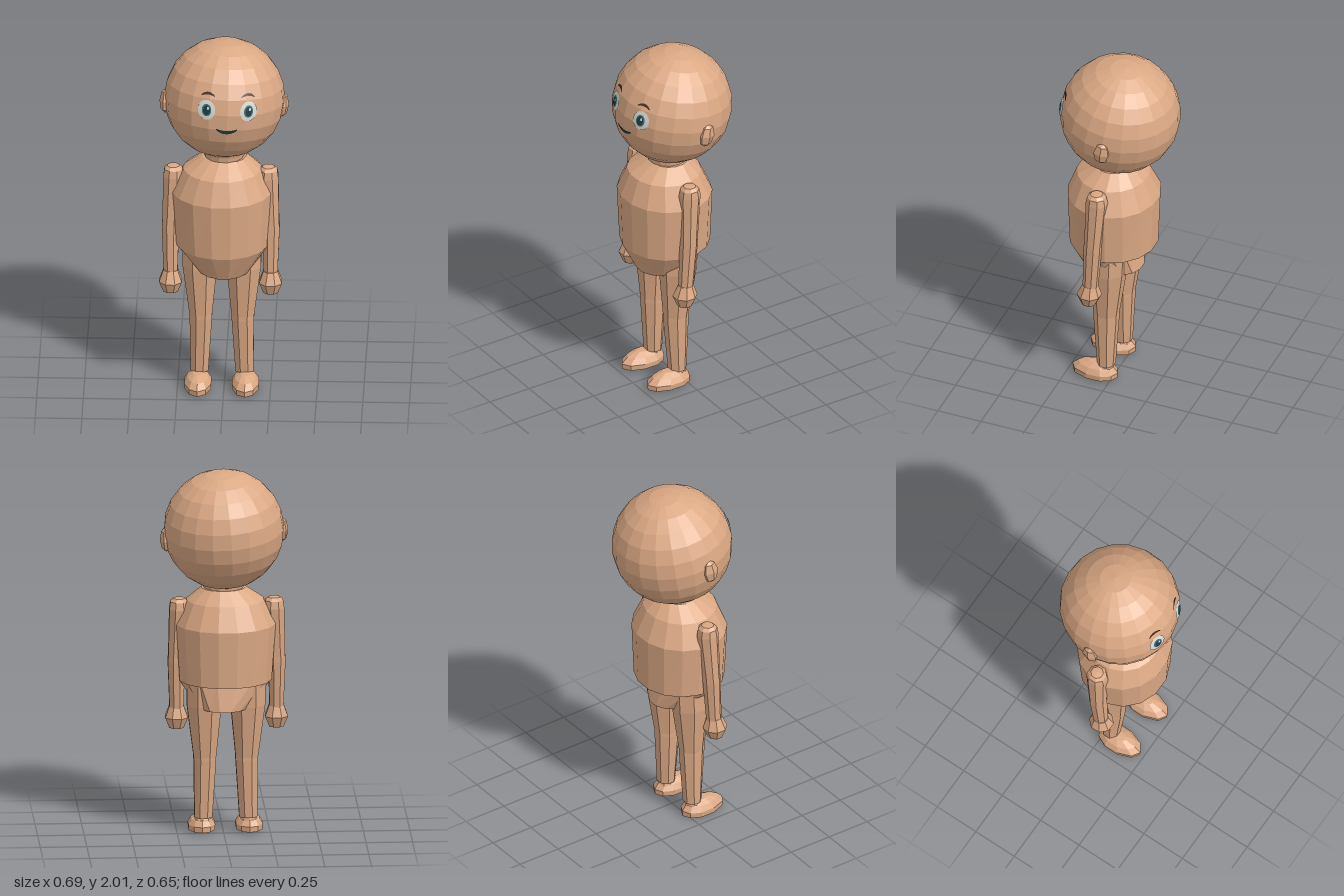
import * as THREE from 'three';

const material = (color, extra = {}) =>
  new THREE.MeshStandardMaterial({ color, flatShading: true, side: THREE.DoubleSide, ...extra });
const skin = material(0xdba884);
const eyeWhite = material(0xd9dad3);
const irisTeal = material(0x3f7078);
const darkTeal = material(0x1f3a42);
const browBrown = material(0x4a3025);

function addMesh(parent, name, geometry, mat = skin) {
  const mesh = new THREE.Mesh(geometry, mat);
  mesh.name = name;
  parent.add(mesh);
  return mesh;
}

// Skin over rings listed bottom to top: [y, centreX, radiusX, centreZ, frontRadius, backRadius]
function loft(rings, sides, turn = 0) {
  const points = [], index = [];
  rings.forEach(([y, cx, rx, cz, front, back = front], i) => {
    for (let j = 0; j < sides; j++) {
      const a = ((j + turn) / sides) * Math.PI * 2;
      const s = Math.sin(a);
      points.push(cx + rx * Math.cos(a), y, cz + s * (s > 0 ? front : back));
      if (i === rings.length - 1) continue;
      const p = i * sides + j, next = i * sides + ((j + 1) % sides);
      index.push(p, p + sides, next, p + sides, next + sides, next);
    }
  });
  const geometry = new THREE.BufferGeometry();
  geometry.setAttribute('position', new THREE.Float32BufferAttribute(points, 3));
  geometry.setIndex(index);
  const flat = geometry.toNonIndexed();
  flat.computeVertexNormals();
  return flat;
}

// Push a flat shape in x and y out onto the front of the head
const HEAD = 0.325;
function ontoHead(geometry, x, y, lift) {
  geometry.translate(x, y, 0);
  const p = geometry.attributes.position;
  for (let i = 0; i < p.count; i++) {
    const r2 = p.getX(i) ** 2 + p.getY(i) ** 2;
    p.setZ(i, Math.sqrt(HEAD * HEAD - r2) + lift);
  }
  geometry.computeVertexNormals();
  return geometry;
}
const oval = (rx, ry) => new THREE.RingGeometry(0, 1, 24, 3).scale(rx, ry, 1);

// Curved stroke that is thickest in the middle; bend lifts (or lowers) its middle
function stroke(halfWidth, thickness, bend) {
  const g = new THREE.PlaneGeometry(2, 1, 12, 1);
  const p = g.attributes.position;
  for (let i = 0; i < p.count; i++) {
    const u = p.getX(i), arch = 1 - u * u;
    p.setXY(i, u * halfWidth, p.getY(i) * thickness * (0.35 + 0.65 * arch) + bend * (arch - 0.5));
  }
  return g;
}

function buildHead() {
  const head = new THREE.Group();
  head.name = 'head';
  addMesh(head, 'skull', new THREE.SphereGeometry(HEAD, 20, 12));
  for (const side of [-1, 1]) {
    const label = side > 0 ? 'left' : 'right';
    addMesh(head, label + 'Ear', new THREE.SphereGeometry(1, 6, 4).scale(0.033, 0.07, 0.048))
      .position.set(side * 0.315, -0.03, 0);
    const x = side * 0.113, y = 0.025;
    addMesh(head, label + 'EyeWhite', ontoHead(oval(0.046, 0.055), x, y, 0.001), eyeWhite);
    addMesh(head, label + 'Iris', ontoHead(oval(0.025, 0.034), x, y, 0.003), irisTeal);
    addMesh(head, label + 'Pupil', ontoHead(oval(0.018, 0.026), x, y, 0.005), darkTeal);
    addMesh(head, label + 'EyeGlint', ontoHead(oval(0.006, 0.008), x + 0.007, y + 0.012, 0.007), eyeWhite);
    addMesh(head, label + 'Brow', ontoHead(stroke(0.036, 0.014, 0.014), x * 0.94, 0.108, 0.002), browBrown);
  }
  addMesh(head, 'mouth', ontoHead(stroke(0.057, 0.02, -0.018), 0, -0.088, 0.002), darkTeal);
  head.position.set(0, 1.677, 0);
  head.rotation.set(-0.12, 0.08, -0.06, 'YXZ');
  return head;
}

function buildTorso() {
  const torso = new THREE.Group();
  torso.name = 'torso';
  addMesh(torso, 'neck', loft([
    [1.33, 0, 0.105, 0.03, 0.105], [1.37, 0, 0.11, 0.03, 0.11], [1.42, 0, 0.13, 0.03, 0.12],
  ], 14));
  // Upper body, with an overhanging lower rim at the back
  addMesh(torso, 'chest', loft([
    [0.845, -0.01, 0.2, 0.04, 0.2, 0.13],
    [0.84, -0.01, 0.252, 0.04, 0.24, 0.24],
    [1.15, -0.012, 0.272, 0.04, 0.25, 0.25],
    [1.28, -0.01, 0.21, 0.04, 0.2, 0.19],
    [1.35, 0, 0.12, 0.03, 0.11, 0.11],
    [1.355, 0, 0, 0.03, 0],
  ], 16, 0.5));
  // Lower body, flush at the front and inset at the back
  addMesh(torso, 'hips', loft([
    [0.66, 0, 0, 0.05, 0],
    [0.69, 0, 0.145, 0.04, 0.17, 0.17],
    [0.84, -0.01, 0.252, 0.04, 0.24, 0.14],
  ], 16, 0.5));
  return torso;
}

function buildArm(side) {
  const arm = new THREE.Group();
  arm.name = side > 0 ? 'leftArm' : 'rightArm';
  const x = side > 0 ? 0.237 : -0.273; // shoulder
  const hx = side > 0 ? 0.25 : -0.287; // hand
  const mid = (x + hx) / 2 + side * 0.008;
  addMesh(arm, 'upperArm', loft([
    [0.94, mid, 0.048, 0.055, 0.048],
    [1.23, x, 0.058, 0.04, 0.06],
    [1.27, x, 0.052, 0.04, 0.052],
    [1.287, x, 0.034, 0.04, 0.034],
    [1.29, x, 0, 0.04, 0],
  ], 8, 0.5));
  addMesh(arm, 'forearm', loft([
    [0.66, hx, 0.04, 0.072, 0.042],
    [0.93, mid, 0.05, 0.056, 0.05],
    [0.96, mid, 0.05, 0.055, 0.05],
  ], 8, 0.5));
  addMesh(arm, 'hand', loft([
    [0.553, hx, 0, 0.08, 0],
    [0.562, hx, 0.042, 0.08, 0.042],
    [0.62, hx, 0.066, 0.078, 0.068],
    [0.685, hx, 0.042, 0.074, 0.042],
    [0.69, hx, 0, 0.074, 0],
  ], 8, 0.5));
  return arm;
}

function buildLeg(side) {
  const leg = new THREE.Group();
  leg.name = side > 0 ? 'leftLeg' : 'rightLeg';
  const shift = side > 0 ? 0 : -0.025;
  const x = (v) => side * v + shift;
  addMesh(leg, 'thigh', loft([
    [0.4, x(0.1), 0.064, 0.04, 0.07],
    [0.7, x(0.105), 0.1, 0.03, 0.105],
    [0.82, x(0.105), 0.1, 0.025, 0.105],
  ], 8, 0.5));
  addMesh(leg, 'shin', loft([
    [0.075, x(0.108), 0.052, 0.037, 0.05],
    [0.395, x(0.1), 0.065, 0.04, 0.072],
    [0.42, x(0.1), 0.065, 0.04, 0.072],
  ], 8, 0.5));
  addMesh(leg, 'ankle', new THREE.SphereGeometry(0.05, 8, 6)).position.set(x(0.112), 0.042, 0.037);
  // Domed foot, hollow underneath
  addMesh(leg, 'foot', loft([
    [0, x(0.115), 0.074, 0.08, 0.148, 0.11],
    [0.03, x(0.115), 0.076, 0.08, 0.15, 0.112],
    [0.06, x(0.115), 0.058, 0.08, 0.115, 0.09],
    [0.08, x(0.115), 0.028, 0.08, 0.055, 0.05],
    [0.083, x(0.115), 0, 0.08, 0],
  ], 10, 0.5));
  return leg;
}

export function createModel() {
  const model = new THREE.Group();
  model.name = 'figure';
  model.add(buildHead(), buildTorso());
  for (const side of [-1, 1]) model.add(buildArm(side), buildLeg(side));
  return model;
}
